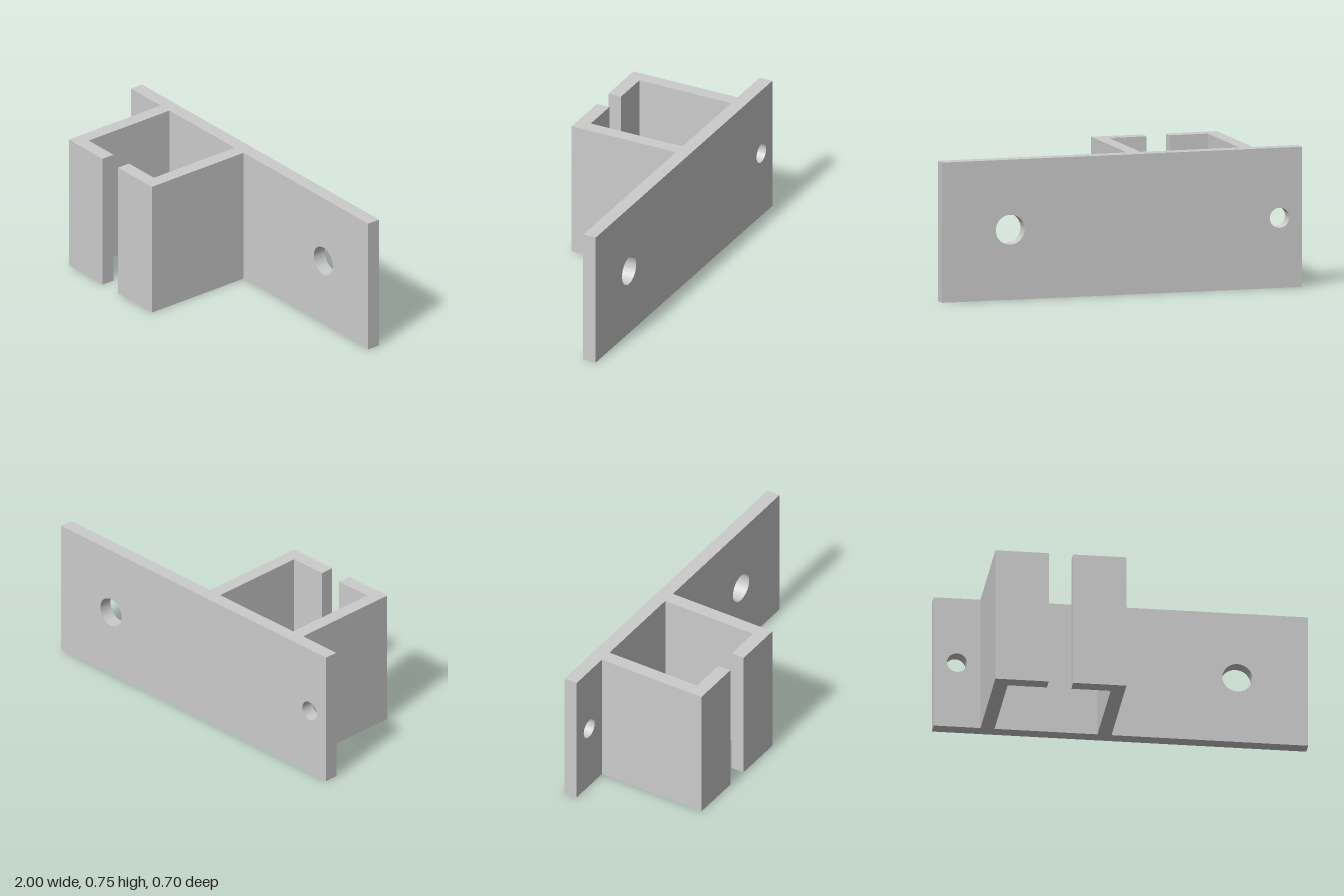
import * as THREE from 'three';
import { toCreasedNormals } from 'three/addons/utils/BufferGeometryUtils.js';

const HEIGHT = 0.75;
const BACK = -0.35, PLATE_FRONT = -0.275, FRONT = 0.35, LIP_BACK = 0.275;

export function createModel() {
  const group = new THREE.Group();
  group.name = 'mountingBracket';
  const material = new THREE.MeshStandardMaterial({ color: 0xcccccc });

  const add = (name, shape, depth) => {
    const extruded = new THREE.ExtrudeGeometry(shape, { depth, bevelEnabled: false, curveSegments: 32 });
    const mesh = new THREE.Mesh(toCreasedNormals(extruded, Math.PI / 6), material);
    mesh.name = name;
    group.add(mesh);
    return mesh;
  };

  // Back plate with a small and a large screw hole
  const plate = new THREE.Shape([[-1, 0], [1, 0], [1, HEIGHT], [-1, HEIGHT]].map(p => new THREE.Vector2(...p)));
  for (const [x, radius] of [[-0.875, 0.054], [0.622, 0.08]]) {
    plate.holes.push(new THREE.Path().absarc(x, HEIGHT / 2, radius, 0, Math.PI * 2, true));
  }
  add('backPlate', plate, PLATE_FRONT - BACK).position.z = BACK;

  // Two mirrored L-shaped walls whose lips leave a slot at the front;
  // plan profile is [distance from channel centre, z]
  const centre = -0.4;
  const profile = [
    [0.35, PLATE_FRONT], [0.35, FRONT], [0.065, FRONT],
    [0.065, LIP_BACK], [0.275, LIP_BACK], [0.275, PLATE_FRONT],
  ];
  for (const [name, side] of [['leftChannelWall', 1], ['rightChannelWall', -1]]) {
    const wall = new THREE.Shape(profile.map(([d, z]) => new THREE.Vector2(centre + side * d, -z)));
    add(name, wall, HEIGHT).rotation.x = -Math.PI / 2;
  }

  return group;
}
